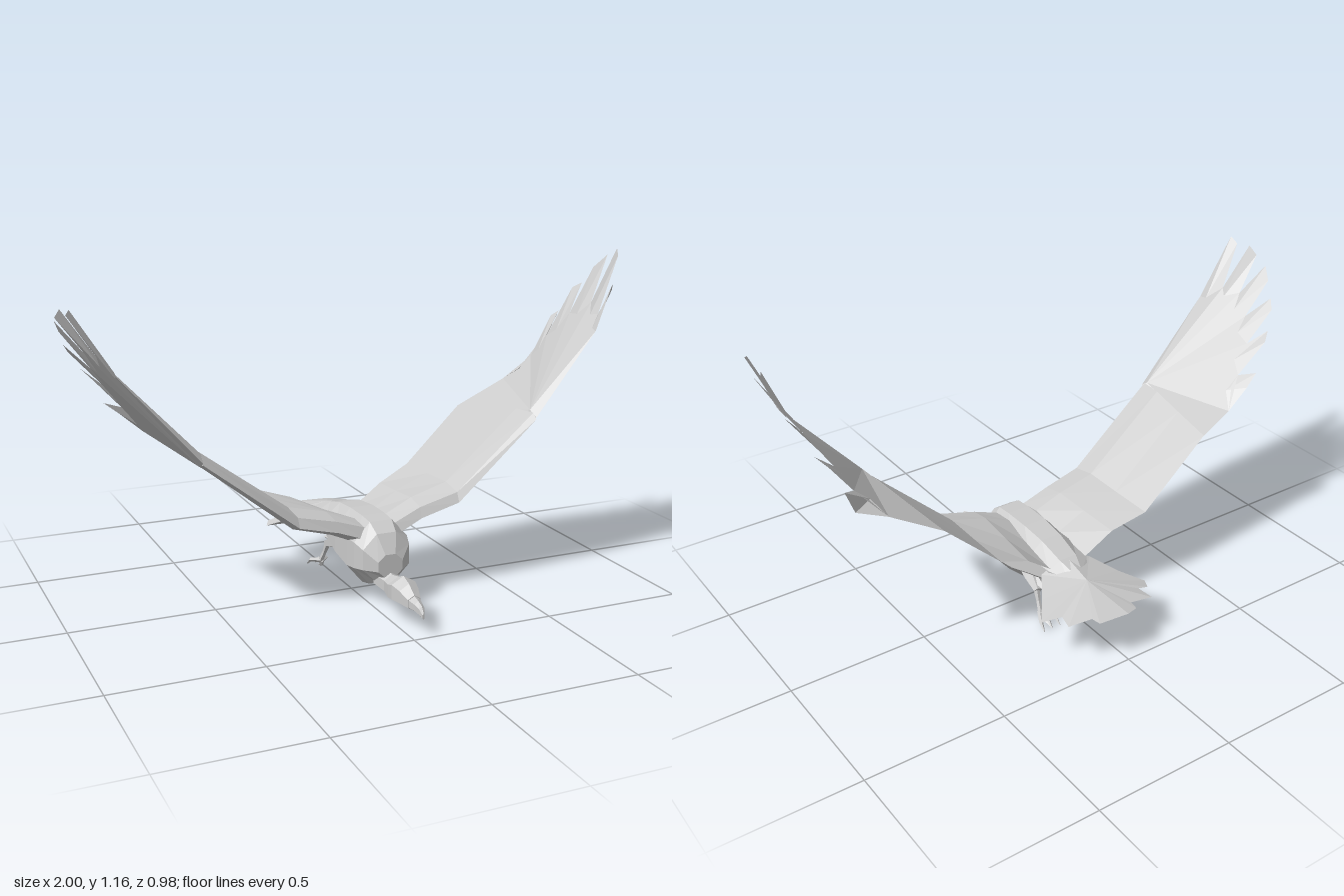
import * as THREE from 'three';

const material = new THREE.MeshStandardMaterial({
  color: 0xcccccc, flatShading: true, side: THREE.DoubleSide,
});
const MID = 0.038; // centre line of the body

// Mesh from a list of triangles, each three [x, y, z] corners
function mesh(name, tris) {
  const g = new THREE.BufferGeometry();
  g.setAttribute('position', new THREE.Float32BufferAttribute(tris.flat(2), 3));
  g.computeVertexNormals();
  const m = new THREE.Mesh(g, material);
  m.name = name;
  return m;
}

// Skin over a row of closed rings, with fan caps on both ends
function skin(rings) {
  const tris = [], n = rings[0].length;
  for (let i = 0; i < rings.length - 1; i++) {
    const a = rings[i], b = rings[i + 1];
    for (let j = 0; j < n; j++) {
      const k = (j + 1) % n;
      tris.push([a[j], b[j], a[k]], [b[j], b[k], a[k]]);
    }
  }
  const first = rings[0], last = rings[rings.length - 1];
  for (let j = 1; j < n - 1; j++) {
    tris.push([first[0], first[j], first[j + 1]], [last[0], last[j + 1], last[j]]);
  }
  return tris;
}

// Rings along z from [z, bottom, top, halfWidth]
function loft(name, sections, sides) {
  return mesh(name, skin(sections.map(([z, lo, hi, w]) =>
    Array.from({ length: sides }, (_, i) => {
      const t = ((i + 0.5) / sides) * Math.PI * 2, c = Math.cos(Math.PI / sides);
      return [MID + (w * Math.cos(t)) / c, (lo + hi) / 2 + ((hi - lo) / 2) * Math.sin(t) / c, z];
    }))));
}

// Tapered limb through points [x, y, z, radius]
function limb(name, pts, sides = 5) {
  const v = pts.map(p => new THREE.Vector3(p[0], p[1], p[2]));
  return mesh(name, skin(v.map((p, i) => {
    const d = v[Math.min(i + 1, v.length - 1)].clone().sub(v[Math.max(i - 1, 0)]).normalize();
    const q = new THREE.Quaternion().setFromUnitVectors(new THREE.Vector3(0, 0, -1), d);
    return Array.from({ length: sides }, (_, j) => {
      const t = (j / sides) * Math.PI * 2;
      return new THREE.Vector3(Math.cos(t), Math.sin(t), 0)
        .multiplyScalar(pts[i][3]).applyQuaternion(q).add(p).toArray();
    });
  })));
}

const raise = (p, dy) => [p[0], p[1] + dy, p[2]];
const mix = (a, b, t) => a.map((v, i) => v + (b[i] - v) * t);

function wing(name, side, { lead, trail, notches, tips }) {
  const group = new THREE.Group();
  group.name = name;
  const thick = [0.04, 0.035, 0.032, 0.022];

  // Arm: an airfoil section at each station
  const rings = lead.map((l, i) => {
    const t = trail[i], h = thick[i];
    const ring = [
      raise(l, -h * 0.3), raise(mix(l, t, 0.04), h * 0.7), raise(mix(l, t, 0.25), h),
      raise(mix(l, t, 0.6), h * 0.5), t,
      raise(mix(l, t, 0.6), -h * 0.3), raise(mix(l, t, 0.15), -h),
    ];
    return side > 0 ? ring : ring.reverse();
  });
  group.add(mesh('innerWing', skin(rings)));

  // Hand: a thin shell fanning out from the wrist
  const wrist = lead[3], hand = [];
  const edge = [...notches, mix(notches[6], trail[3], 0.5), trail[3]];
  const top = raise(mix(wrist, trail[3], 0.08), 0.024), low = raise(mix(wrist, trail[3], 0.1), -0.022);
  const add = (a, b, c) => hand.push(side > 0 ? [a, b, c] : [a, c, b]);
  [wrist, ...edge].forEach((p, i, all) => {
    const q = all[i + 1];
    if (!q) return;
    add(top, p, q);
    add(low, q, p);
  });
  group.add(mesh('outerWing', hand));

  // Flight feathers: blunt blades between the notches, ridged along the middle
  const blades = [];
  tips.forEach(([a, b], i) => {
    const p = notches[i], q = notches[i + 1];
    const root = mix(mix(p, q, 0.5), wrist, 0.08);
    for (const dy of [0.008, -0.008]) {
      const r = raise(root, dy);
      for (const [u, v] of [[p, a], [a, b], [b, q]]) blades.push((dy > 0) === (side > 0) ? [r, u, v] : [r, v, u]);
    }
  });
  group.add(mesh('flightFeathers', blades));
  return group;
}

const leftWing = {
  lead: [[0.09, 0.25, 0.17], [0.19, 0.295, 0.165], [0.33, 0.335, 0.172], [0.61, 0.605, 0.2]],
  trail: [[0.1, 0.235, -0.2], [0.2, 0.31, -0.2], [0.32, 0.365, -0.22], [0.53, 0.565, -0.225]],
  notches: [[0.84, 0.89, 0.195], [0.88, 0.94, 0.145], [0.9, 0.97, 0.07], [0.87, 0.92, -0.02],
    [0.82, 0.83, -0.09], [0.78, 0.75, -0.13], [0.7, 0.66, -0.19]],
  tips: [
    [[0.9, 1.05, 0.195], [0.91, 1.03, 0.18]], [[0.96, 1.14, 0.135], [0.985, 1.16, 0.09]],
    [[0.995, 1.13, 0.02], [0.97, 1.08, -0.03]], [[0.95, 1.02, -0.07], [0.93, 1.0, -0.1]],
    [[0.9, 0.91, -0.14], [0.88, 0.89, -0.16]], [[0.83, 0.78, -0.17], [0.8, 0.7, -0.17]]],
};
const rightWing = {
  lead: [[-0.02, 0.25, 0.17], [-0.12, 0.285, 0.17], [-0.26, 0.32, 0.176], [-0.59, 0.575, 0.2]],
  trail: [[-0.03, 0.235, -0.2], [-0.15, 0.3, -0.2], [-0.28, 0.34, -0.22], [-0.55, 0.55, -0.2]],
  notches: [[-0.85, 0.87, 0.195], [-0.89, 0.92, 0.12], [-0.91, 0.92, 0.05], [-0.88, 0.86, -0.02],
    [-0.83, 0.79, -0.09], [-0.76, 0.7, -0.13], [-0.68, 0.6, -0.18]],
  tips: [
    [[-0.98, 1.08, 0.19], [-0.985, 1.06, 0.16]], [[-0.99, 1.07, 0.1], [-1, 1.04, 0.07]],
    [[-0.99, 1.02, 0.01], [-0.97, 0.98, -0.03]], [[-0.95, 0.93, -0.07], [-0.93, 0.9, -0.1]],
    [[-0.89, 0.84, -0.13], [-0.86, 0.81, -0.15]], [[-0.81, 0.71, -0.17], [-0.76, 0.67, -0.18]]],
};

// Fanned tail: stepped feather ends around a raised centre
function tail() {
  const edge = [
    [MID, 0.265, -0.18], [-0.06, 0.225, -0.19], [-0.12, 0.19, -0.28], [-0.19, 0.155, -0.34],
    [-0.17, 0.16, -0.38], [-0.13, 0.17, -0.38], [-0.14, 0.165, -0.44], [-0.05, 0.18, -0.44],
    [-0.05, 0.175, -0.47], [0, 0.185, -0.49], [0.11, 0.185, -0.48], [0.12, 0.19, -0.45],
    [0.2, 0.18, -0.43], [0.19, 0.185, -0.38], [0.26, 0.18, -0.36], [0.2, 0.2, -0.28], [0.14, 0.225, -0.19],
  ];
  const up = [MID, 0.232, -0.31], down = [MID, 0.165, -0.31], tris = [];
  const under = edge.map((p, i) => (i ? p : [MID, 0.19, -0.18]));
  edge.forEach((p, i) => {
    const j = (i + 1) % edge.length;
    tris.push([up, edge[j], p], [down, under[i], under[j]]);
  });
  return mesh('tail', tris.map(([a, b, c]) => [a, c, b]));
}

// Leg with feathered thigh, shank, three front toes and a hind claw
function leg(name, x, lift, out) {
  const g = new THREE.Group();
  g.name = name;
  const P = (dx, y, z, r) => [x + dx * out, y + lift, z, r];
  g.add(limb('thigh', [P(-0.03, 0.15, 0, 0.03), P(-0.015, 0.135, -0.07, 0.03), P(0, 0.11, -0.125, 0.014)]));
  g.add(limb('thighFeathers', [P(-0.02, 0.14, -0.06, 0.025), P(-0.01, 0.12, -0.17, 0.003)], 4));
  g.add(limb('shank', [P(0, 0.115, -0.115, 0.012), P(0.005, 0.075, -0.135, 0.008), P(0.01, 0.04, -0.155, 0.01)]));
  for (const dx of [-0.025, 0.005, 0.035]) {
    g.add(limb('toe', [P(0.01, 0.04, -0.15, 0.009), P(dx, 0.03, -0.195, 0.007), P(dx * 1.1, 0.008, -0.22, 0.002)], 4));
  }
  g.add(limb('hindClaw', [P(0.01, 0.04, -0.15, 0.009), P(0.005, 0.018, -0.165, 0.007), P(0, 0.004, -0.205, 0.002)], 4));
  return g;
}

export function createModel() {
  const model = new THREE.Group();
  model.name = 'soaringBird';
  model.add(
    loft('body', [
      [0.24, 0.12, 0.2, 0.045], [0.205, 0.095, 0.265, 0.085], [0.16, 0.075, 0.295, 0.098],
      [0.1, 0.062, 0.3, 0.1], [0, 0.085, 0.3, 0.1], [-0.1, 0.13, 0.29, 0.092],
      [-0.2, 0.175, 0.262, 0.08], [-0.26, 0.185, 0.235, 0.04],
    ], 8),
    loft('neckAndHead', [
      [0.2, 0.08, 0.14, 0.045], [0.25, 0.066, 0.128, 0.028], [0.3, 0.06, 0.137, 0.038],
      [0.34, 0.065, 0.152, 0.043], [0.38, 0.068, 0.14, 0.034], [0.42, 0.07, 0.116, 0.023],
    ].reverse(), 6),
    loft('beak', [
      [0.488, 0.062, 0.08, 0.004], [0.475, 0.068, 0.1, 0.01],
      [0.45, 0.072, 0.108, 0.014], [0.41, 0.072, 0.116, 0.022],
    ], 6),
    tail(),
    wing('leftWing', 1, leftWing),
    wing('rightWing', -1, rightWing),
    leg('leftLeg', 0.11, 0, 1),
    leg('rightLeg', -0.04, 0.025, -1),
  );
  return model;
}
